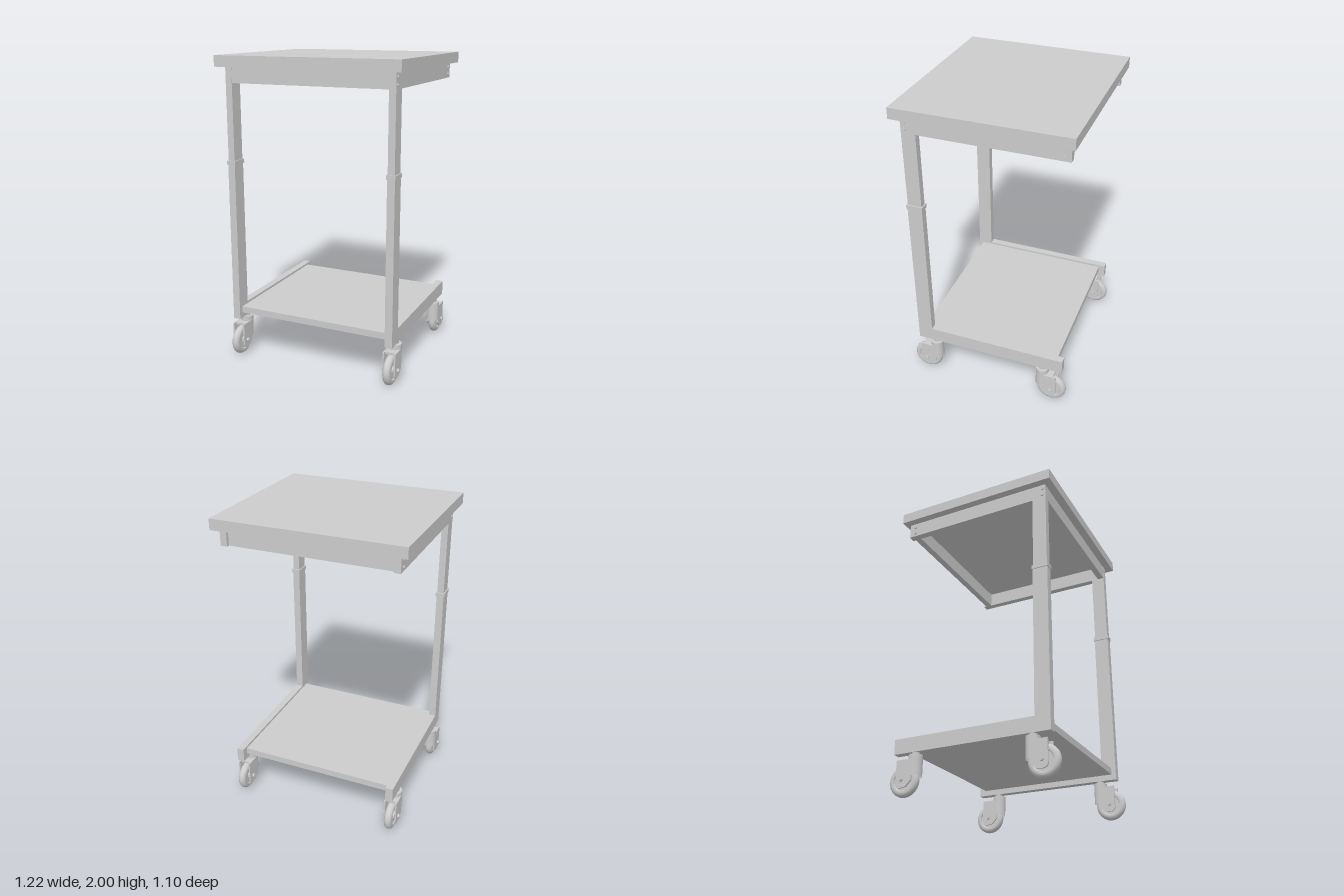
import * as THREE from 'three';
import { toCreasedNormals } from 'three/addons/utils/BufferGeometryUtils.js';

const material = new THREE.MeshStandardMaterial({ color: 0xcccccc });
const thinMaterial = new THREE.MeshStandardMaterial({ color: 0xcccccc, side: THREE.DoubleSide });

function add(parent, name, geometry, mat = material) {
  const mesh = new THREE.Mesh(geometry, mat);
  mesh.name = name;
  parent.add(mesh);
  return mesh;
}

// Box given by its minimum and maximum on each axis
function box(parent, name, [x0, x1], [y0, y1], [z0, z1]) {
  const mesh = add(parent, name, new THREE.BoxGeometry(x1 - x0, y1 - y0, z1 - z0));
  mesh.position.set((x0 + x1) / 2, (y0 + y1) / 2, (z0 + z1) / 2);
  return mesh;
}

// Cylinder lying along x
function pin(parent, name, radius, length, x, y, z) {
  const mesh = add(parent, name, new THREE.CylinderGeometry(radius, radius, length, 20));
  mesh.rotation.z = Math.PI / 2;
  mesh.position.set(x, y, z);
  return mesh;
}

// Swivel caster: stem at the local origin, wheel trailing towards +z
function createCaster() {
  const caster = new THREE.Group();
  const wheelZ = 0.068, wheelY = 0.1;

  add(caster, 'stem', new THREE.CylinderGeometry(0.024, 0.024, 0.03, 24)).position.y = 0.257;
  add(caster, 'swivelHousing', new THREE.CylinderGeometry(0.043, 0.043, 0.05, 32)).position.y = 0.225;
  const shell = new THREE.CylinderGeometry(0.043, 0.043, 0.085, 24, 1, true, Math.PI / 2, Math.PI);
  add(caster, 'forkBack', shell, thinMaterial).position.y = 0.16;

  // Fork cheeks, outlined in the z-y plane
  const outline = new THREE.Shape();
  outline.moveTo(0, 0.22);
  outline.lineTo(0.105, 0.22);
  outline.lineTo(0.105, 0.075);
  outline.quadraticCurveTo(0.1, 0.05, 0.07, 0.05);
  outline.lineTo(0.035, 0.055);
  outline.lineTo(0, 0.09);
  const cheek = new THREE.ExtrudeGeometry(outline, { depth: 0.01, bevelEnabled: false, curveSegments: 8 });
  cheek.rotateY(-Math.PI / 2);
  for (const x of [-0.033, 0.043]) add(caster, 'forkCheek', cheek).position.x = x;
  box(caster, 'forkTop', [-0.034, 0.034], [0.205, 0.219], [0, 0.085]);

  // Wheel with recessed disc, raised hub and rounded tread
  const half = [[0.001, 0.026], [0.025, 0.026], [0.028, 0.016], [0.06, 0.016], [0.064, 0.024],
    [0.076, 0.026], [0.088, 0.021], [0.095, 0.013], [0.098, 0.005]];
  const profile = [...half.map(([r, w]) => new THREE.Vector2(r, -w)),
    ...half.slice().reverse().map(([r, w]) => new THREE.Vector2(r, w))];
  const wheelGeometry = toCreasedNormals(new THREE.LatheGeometry(profile, 48), 0.7);
  wheelGeometry.rotateZ(Math.PI / 2);
  add(caster, 'wheel', wheelGeometry).position.set(0, wheelY, wheelZ);

  pin(caster, 'axle', 0.008, 0.116, 0, wheelY, wheelZ);
  for (const s of [-1, 1]) pin(caster, 'axleNut', 0.013, 0.012, s * 0.049, wheelY, wheelZ);
  return caster;
}

// One side of the frame, on the +x side for s = 1 and the -x side for s = -1
function createSideFrame(s) {
  const side = new THREE.Group();
  const span = (a, b) => (s > 0 ? [a, b] : [-b, -a]);

  box(side, 'lowerLeg', span(0.518, 0.567), [0.265, 1.32], [0.407, 0.505]);
  box(side, 'upperLeg', span(0.52, 0.564), [1.32, 1.93], [0.41, 0.502]);
  box(side, 'legCollar', span(0.512, 0.572), [1.314, 1.34], [0.402, 0.51]);
  box(side, 'topArm', span(0.52, 0.564), [1.83, 1.93], [-0.52, 0.41]);
  box(side, 'bottomArm', span(0.518, 0.567), [0.265, 0.36], [-0.52, 0.407]);

  for (const z of [-0.478, 0.48]) {
    for (const y of [1.855, 1.9]) pin(side, 'armBolt', 0.01, 0.012, s * 0.565, y, z);
  }
  return side;
}

export function createModel() {
  const model = new THREE.Group();
  model.name = 'rollingTable';

  // Table top, its rails and the lower shelf
  box(model, 'tableTop', [-0.612, 0.612], [1.93, 2], [-0.552, 0.552]);
  box(model, 'frontRail', [-0.52, 0.52], [1.83, 1.93], [0.457, 0.5]);
  box(model, 'backRail', [-0.52, 0.52], [1.83, 1.93], [-0.5, -0.457]);
  box(model, 'shelf', [-0.519, 0.519], [0.302, 0.345], [-0.475, 0.475]);

  // Side frames with a caster at each end
  for (const s of [-1, 1]) {
    const side = createSideFrame(s);
    side.name = s > 0 ? 'leftFrame' : 'rightFrame';
    model.add(side);
    for (const end of [-1, 1]) {
      const caster = createCaster();
      caster.name = end > 0 ? 'frontCaster' : 'backCaster';
      caster.position.set(s * 0.542, 0, end > 0 ? 0.386 : -0.38);
      if (end < 0) caster.rotation.y = Math.PI;
      model.add(caster);
    }
  }
  return model;
}
